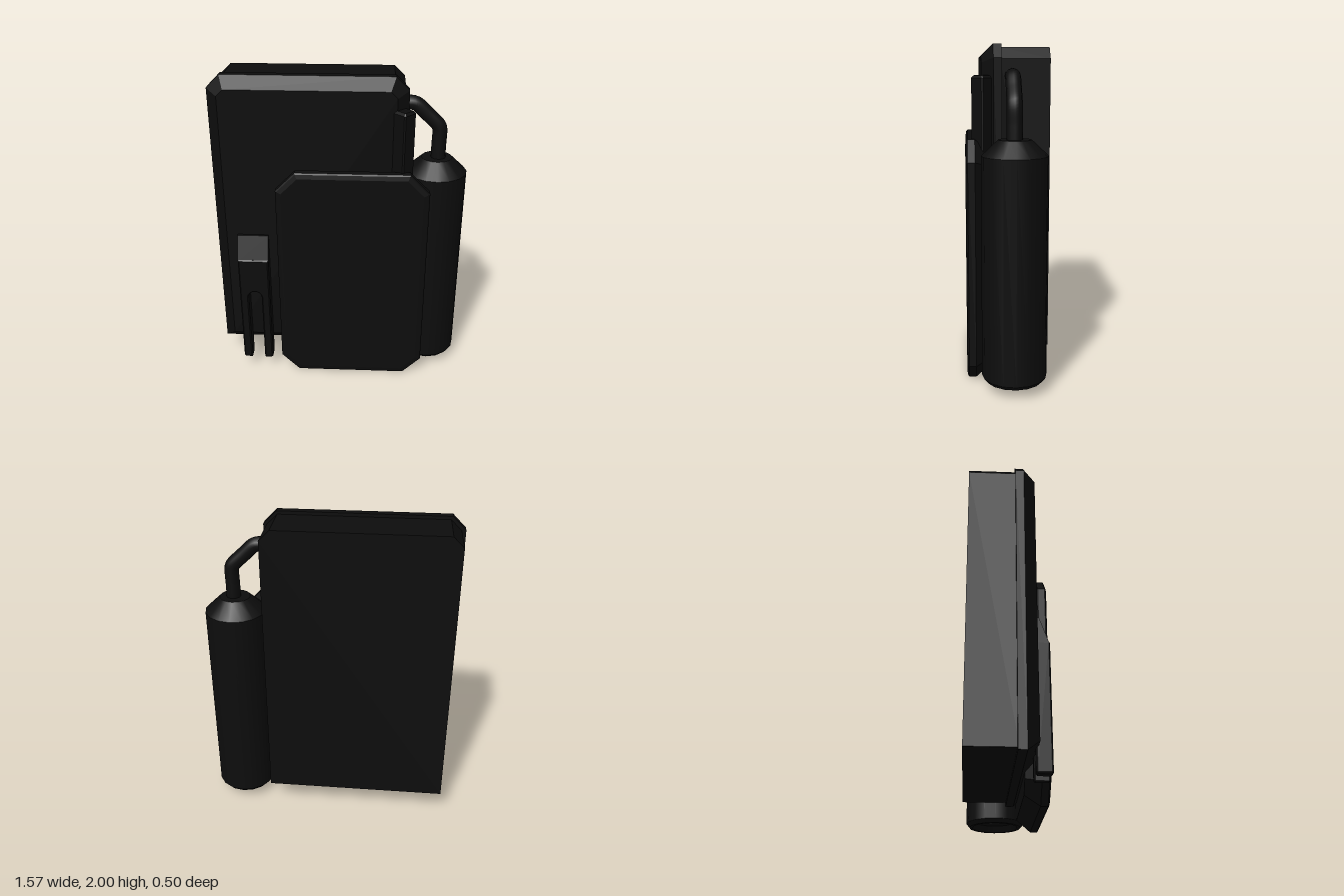
import * as THREE from 'three';

const black = new THREE.MeshStandardMaterial({ color: 0x0d0d0d });
black.name = 'black';

// Rectangle with cut corners, counter-clockwise from the front
function cutRect(r, inset) {
  const x0 = r.x0 + inset, x1 = r.x1 - inset, y0 = r.y0 + inset, y1 = r.y1 - inset;
  const t = Math.max(r.top - inset * 0.58, 0.001), b = Math.max(r.bottom - inset * 0.58, 0.001);
  return [[x0 + b, y0], [x1 - b, y0], [x1, y0 + b], [x1, y1 - t],
    [x1 - t, y1], [x0 + t, y1], [x0, y1 - t], [x0, y0 + b]];
}

// Solid through cut rectangles; layers are [z, inset] from back to front
function slab(rect, layers) {
  const rings = layers.map(([z, inset]) => cutRect(rect, inset).map(p => [p[0], p[1], z]));
  const pos = [];
  const tri = (a, b, c) => pos.push(...a, ...b, ...c);
  for (let k = 0; k < rings.length - 1; k++) {
    const lo = rings[k], up = rings[k + 1];
    for (let i = 0; i < 8; i++) {
      const j = (i + 1) % 8;
      tri(lo[i], lo[j], up[j]);
      tri(lo[i], up[j], up[i]);
    }
  }
  const back = rings[0], front = rings[rings.length - 1];
  for (let i = 1; i < 7; i++) {
    tri(front[0], front[i], front[i + 1]);
    tri(back[0], back[i + 1], back[i]);
  }
  const geo = new THREE.BufferGeometry();
  geo.setAttribute('position', new THREE.Float32BufferAttribute(pos, 3));
  geo.computeVertexNormals();
  return geo;
}

export function createModel() {
  const model = new THREE.Group();
  model.name = 'equipmentPack';
  const add = (name, geo, parent = model) => {
    const mesh = new THREE.Mesh(geo, black);
    mesh.name = name;
    parent.add(mesh);
    return mesh;
  };

  // Main case and its bevelled front cover
  add('mainCase', slab({ x0: -0.76, x1: 0.385, y0: 0.18, y1: 1.98, top: 0.065, bottom: 0 },
    [[-0.25, 0], [0.04, 0]]));
  add('frontCover', slab({ x0: -0.785, x1: 0.405, y0: 0.16, y1: 2, top: 0.08, bottom: 0 },
    [[0.03, 0], [0.08, 0], [0.15, 0.07]]));

  // Large front plate, tapered behind
  add('frontPlate', slab({ x0: -0.385, x1: 0.545, y0: 0, y1: 1.455, top: 0.12, bottom: 0.115 },
    [[0.1, 0.07], [0.19, 0], [0.232, 0], [0.24, 0.008], [0.245, 0.035]]));

  // Square post set at 45 degrees on the cover's edge
  const post = add('cornerPost', slab({ x0: -0.048, x1: 0.048, y0: -0.048, y1: 0.048, top: 0.008, bottom: 0.008 },
    [[0, 0], [0.44, 0], [0.455, 0.012]]).rotateX(-Math.PI / 2).rotateY(Math.PI / 4));
  post.position.set(0.378, 1.365, 0.145);

  // Bottle with sloped shoulder and recessed base
  const profile = [[0, 0.1], [0.13, 0.1], [0.15, 0.06], [0.17, 0.06], [0.19, 0.085],
    [0.19, 1.38], [0.095, 1.47], [0, 1.47]];
  const points = [];
  profile.forEach(([x, y], i) => {
    points.push(new THREE.Vector2(x, y));
    // doubled points keep the rims crisp
    if (i > 0 && i < profile.length - 1) points.push(new THREE.Vector2(x, y + 0.0005));
  });
  const bottle = add('bottle', new THREE.LatheGeometry(points, 16));
  bottle.position.set(0.592, 0, -0.032);

  // Bent hose from bottle to case
  const path = new THREE.CatmullRomCurve3([[0.6, 1.44], [0.6, 1.55], [0.6, 1.65], [0.592, 1.675], [0.52, 1.747],
    [0.455, 1.807], [0.43, 1.815], [0.36, 1.815]].map(p => new THREE.Vector3(p[0], p[1], -0.03)));
  add('hose', new THREE.TubeGeometry(path, 40, 0.045, 12));

  // Forked clip
  const clip = new THREE.Group();
  clip.name = 'forkedClip';
  model.add(clip);
  const fork = new THREE.Shape();
  fork.moveTo(-0.0975, 0.09);
  fork.lineTo(-0.0875, 0.08);
  fork.lineTo(-0.0425, 0.08);
  fork.lineTo(-0.0425, 0.56);
  fork.absarc(0, 0.56, 0.0425, Math.PI, 0, true);
  fork.lineTo(0.0425, 0.08);
  fork.lineTo(0.0875, 0.08);
  fork.lineTo(0.0975, 0.09);
  fork.lineTo(0.0975, 0.84);
  fork.lineTo(-0.0975, 0.84);
  add('clipFork', new THREE.ExtrudeGeometry(fork, {
    depth: 0.075, bevelEnabled: true, bevelThickness: 0.008, bevelSize: 0.008, bevelOffset: -0.008, bevelSegments: 1, curveSegments: 10,
  }), clip).position.z = 0.142;
  const head = new THREE.BoxGeometry(0.195, 0.16, 0.085).translate(0, 0.91, 0.1775).toNonIndexed();
  const p = head.attributes.position;
  for (let i = 0; i < p.count; i++) {
    if (p.getY(i) > 0.95 && p.getZ(i) > 0.2) p.setZ(i, 0.165);
  }
  head.computeVertexNormals();
  add('clipHead', head, clip);
  clip.position.x = -0.5475;

  return model;
}
